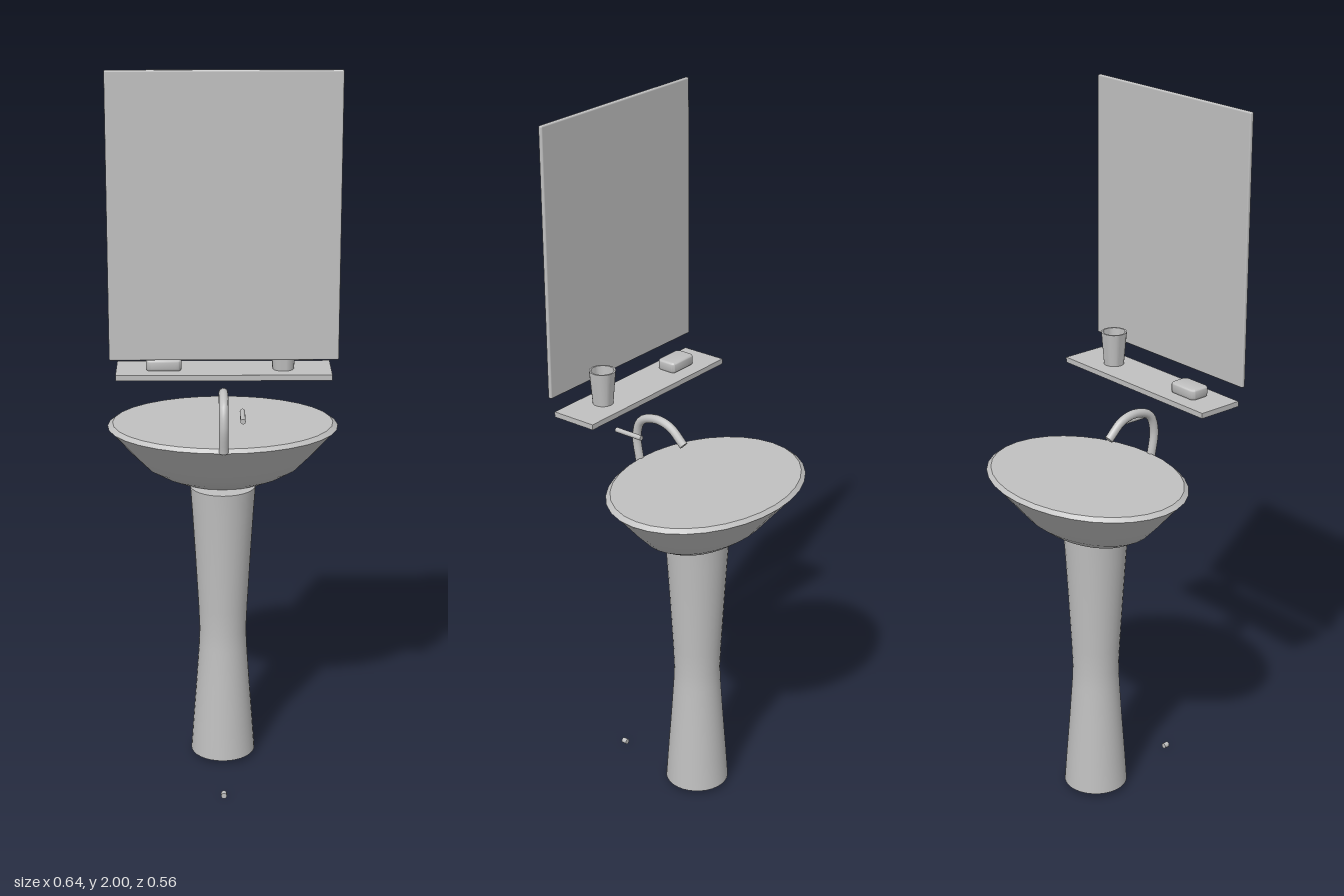
import * as THREE from 'three';
import { toCreasedNormals } from 'three/addons/utils/BufferGeometryUtils.js';
import { RoundedBoxGeometry } from 'three/addons/geometries/RoundedBoxGeometry.js';

export function createModel() {
  const group = new THREE.Group();
  const grey = new THREE.MeshStandardMaterial({ color: 0xc0c0c0 });
  grey.name = 'grey ceramic';

  const add = (name, geometry, x, y, z) => {
    const mesh = new THREE.Mesh(geometry, grey);
    mesh.name = name;
    mesh.position.set(x, y, z);
    group.add(mesh);
    return mesh;
  };
  const lathe = (points, segments) =>
    new THREE.LatheGeometry(points.map(([r, y]) => new THREE.Vector2(r, y)), segments);

  // Pedestal with a narrow waist
  const pedestal = lathe([
    [0, 0.012], [0.091, 0.012], [0.085, 0.1], [0.076, 0.22], [0.068, 0.34], [0.066, 0.39],
    [0.069, 0.46], [0.078, 0.62], [0.086, 0.75], [0.091, 0.82], [0, 0.82],
  ], 32);
  add('pedestal', toCreasedNormals(pedestal, 0.7), 0, 0, -0.005);

  // Oval basin with a chamfered rim; the oval grows rounder towards the top
  const basin = lathe([
    [0, 0.815], [0.115, 0.82], [0.165, 0.84], [0.21, 0.866], [0.255, 0.913], [0.3, 0.965],
    [0.318, 0.984], [0.304, 0.994], [0, 0.994],
  ], 32);
  const pos = basin.attributes.position;
  for (let i = 0; i < pos.count; i++) {
    const t = THREE.MathUtils.clamp((pos.getY(i) - 0.82) / 0.16, 0, 1);
    pos.setZ(i, pos.getZ(i) * THREE.MathUtils.lerp(0.64, 0.762, t));
  }
  add('basin', toCreasedNormals(basin, 0.5), 0, 0, -0.038);

  // Curved tap with closed ends
  const tapPath = new THREE.CatmullRomCurve3([
    [0.199, 0.985], [0.209, 1.06], [0.192, 1.108], [0.142, 1.127], [0.09, 1.117], [0.042, 1.075],
  ].map(([z, y]) => new THREE.Vector3(0, y, z)));
  add('tap', new THREE.TubeGeometry(tapPath, 24, 0.0125, 12), 0, 0, 0);
  [0, 1].forEach((t) => {
    const cap = add('tapEnd', new THREE.CircleGeometry(0.0125, 12), 0, 0, 0);
    const p = tapPath.getPointAt(t);
    const dir = tapPath.getTangentAt(t).multiplyScalar(t ? 1 : -1);
    cap.position.copy(p);
    cap.lookAt(p.clone().add(dir));
  });

  // Tap lever and the floor outlet, both short rods along z
  const rod = (name, radius, length, x, y, z) => {
    add(name, new THREE.CylinderGeometry(radius, radius, length, 12).rotateX(Math.PI / 2), x, y, z);
  };
  rod('tapLever', 0.007, 0.09, 0.05, 1.085, 0.195);
  rod('floorOutlet', 0.008, 0.016, 0, 0.009, 0.273);

  // Mirror and shelf
  add('mirror', new RoundedBoxGeometry(0.59, 0.74, 0.012, 2, 0.004), 0, 1.63, 0.26);
  add('shelf', new THREE.BoxGeometry(0.56, 0.015, 0.133), 0, 1.21, 0.191);

  // Hollow cup
  const cup = lathe([
    [0, 1.217], [0.028, 1.217], [0.036, 1.312], [0.031, 1.312], [0.025, 1.225], [0, 1.225],
  ], 24);
  add('cup', toCreasedNormals(cup, 0.6), 0.155, 0, 0.195);

  // Soap bar: rounded corners in plan with softened edges
  const [w, d, r] = [0.041, 0.025, 0.008];
  const outline = new THREE.Shape();
  outline.absarc(w - r, d - r, r, 0, Math.PI / 2);
  outline.absarc(r - w, d - r, r, Math.PI / 2, Math.PI);
  outline.absarc(r - w, r - d, r, Math.PI, Math.PI * 1.5);
  outline.absarc(w - r, r - d, r, Math.PI * 1.5, Math.PI * 2);
  const soap = new THREE.ExtrudeGeometry(outline, {
    depth: 0.018, bevelThickness: 0.006, bevelSize: 0.005, bevelSegments: 3, curveSegments: 4,
  }).rotateX(-Math.PI / 2);
  add('soap', toCreasedNormals(soap, 0.7), -0.156, 1.2235, 0.194);

  return group;
}
